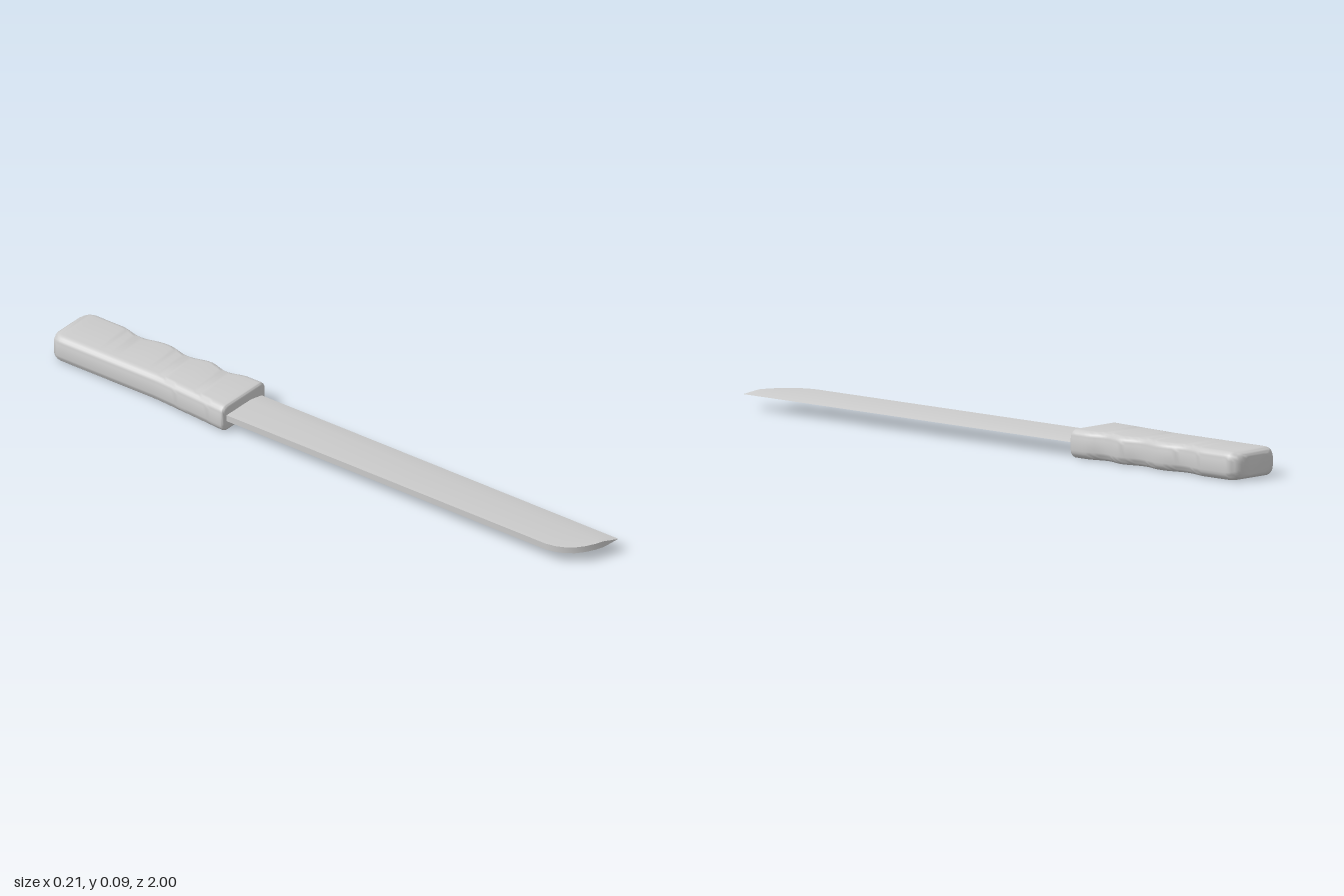
import * as THREE from 'three';
import { toCreasedNormals } from 'three/addons/utils/BufferGeometryUtils.js';

// Skin a list of rings (each counter-clockwise seen from +z, ordered toward +z) and cap both ends
function loft(rings, crease) {
  const n = rings[0].length, pos = rings.flat(2), idx = [];
  for (let i = 0; i < rings.length - 1; i++) {
    for (let j = 0; j < n; j++) {
      const a = i * n + j, b = i * n + (j + 1) % n;
      idx.push(a, b, b + n, a, b + n, a + n);
    }
  }
  const last = (rings.length - 1) * n;
  for (let j = 1; j < n - 1; j++) {
    idx.push(0, j + 1, j, last, last + j, last + j + 1);
  }
  const g = new THREE.BufferGeometry();
  g.setAttribute('position', new THREE.Float32BufferAttribute(pos, 3));
  g.setIndex(idx);
  return toCreasedNormals(g, crease);
}

// Rounded rectangle across the handle at depth z
function roundedRing(z, x0, x1, y0, y1, r) {
  const ring = [];
  const corners = [[x1 - r, y0 + r, -90], [x1 - r, y1 - r, 0], [x0 + r, y1 - r, 90], [x0 + r, y0 + r, 180]];
  for (const [cx, cy, start] of corners) {
    for (let k = 0; k <= 5; k++) {
      const a = THREE.MathUtils.degToRad(start + k * 18);
      ring.push([cx + r * Math.cos(a), cy + r * Math.sin(a), z]);
    }
  }
  return ring;
}

// Finger-grip side: three shallow dips
function gripX(z) {
  let x = 0.102;
  for (const [c, w] of [[-0.78, 0.085], [-0.605, 0.08], [-0.46, 0.07]]) {
    const d = Math.abs(z - c) / w;
    if (d < 1) x -= 0.008 * (1 + Math.cos(Math.PI * d));
  }
  return x;
}

// Back side: straight, then flaring toward the blade
const backX = z => -0.085 - 0.02 * Math.max(0, (z + 0.6) / 0.267);

function handleGeometry() {
  const H = 0.086, front = -0.333, rings = [];
  const add = (z, ix, iy) =>
    rings.push(roundedRing(z, backX(z) + ix, gripX(z) - ix, iy, H - iy, 0.025));
  // Rounded butt
  for (let k = 0; k < 6; k++) {
    const a = k / 6 * Math.PI / 2;
    add(-1 + 0.04 * (1 - Math.cos(a)), 0.04 * (1 - Math.sin(a)), 0.016 * (1 - Math.sin(a)));
  }
  // Grip
  for (let k = 0; k <= 44; k++) add(-0.96 + k / 44 * 0.619, 0, 0);
  // Softened front rim
  for (const a of [0.5, 1.05, Math.PI / 2]) {
    const inset = 0.008 * (1 - Math.cos(a));
    add(front - 0.008 * (1 - Math.sin(a)), inset, inset);
  }
  return loft(rings, 0.9);
}

function bladeGeometry() {
  const Y = 0.044, edge = 0.082, shoulder = 0.03, half = 0.01;
  const thick = x => half * Math.min(1, (edge - x) / (edge - shoulder));
  // Spine position along the blade, curving over to the cutting edge at the tip
  const spine = [[-0.085, -0.36], [-0.085, 0.3], [-0.085, 0.86], [-0.079, 0.89], [-0.067, 0.917],
    [-0.048, 0.942], [-0.024, 0.961], [0.005, 0.976], [0.03, 0.985], [0.055, 0.993], [0.081, 1]];
  const rings = spine.map(([xs, z]) => {
    const xm = Math.max(xs + 0.0005, shoulder), hs = thick(xs), hm = thick(xm);
    return [[xs, Y - hs, z], [xm, Y - hm, z], [edge, Y, z], [xm, Y + hm, z], [xs, Y + hs, z]];
  });
  return loft(rings, 0.6);
}

export function createModel() {
  const group = new THREE.Group();
  group.name = 'knife';
  const material = new THREE.MeshStandardMaterial({ color: 0xcccccc });
  const parts = { handle: handleGeometry(), blade: bladeGeometry() };
  for (const [name, geometry] of Object.entries(parts)) {
    const mesh = new THREE.Mesh(geometry, material);
    mesh.name = name;
    group.add(mesh);
  }
  return group;
}
